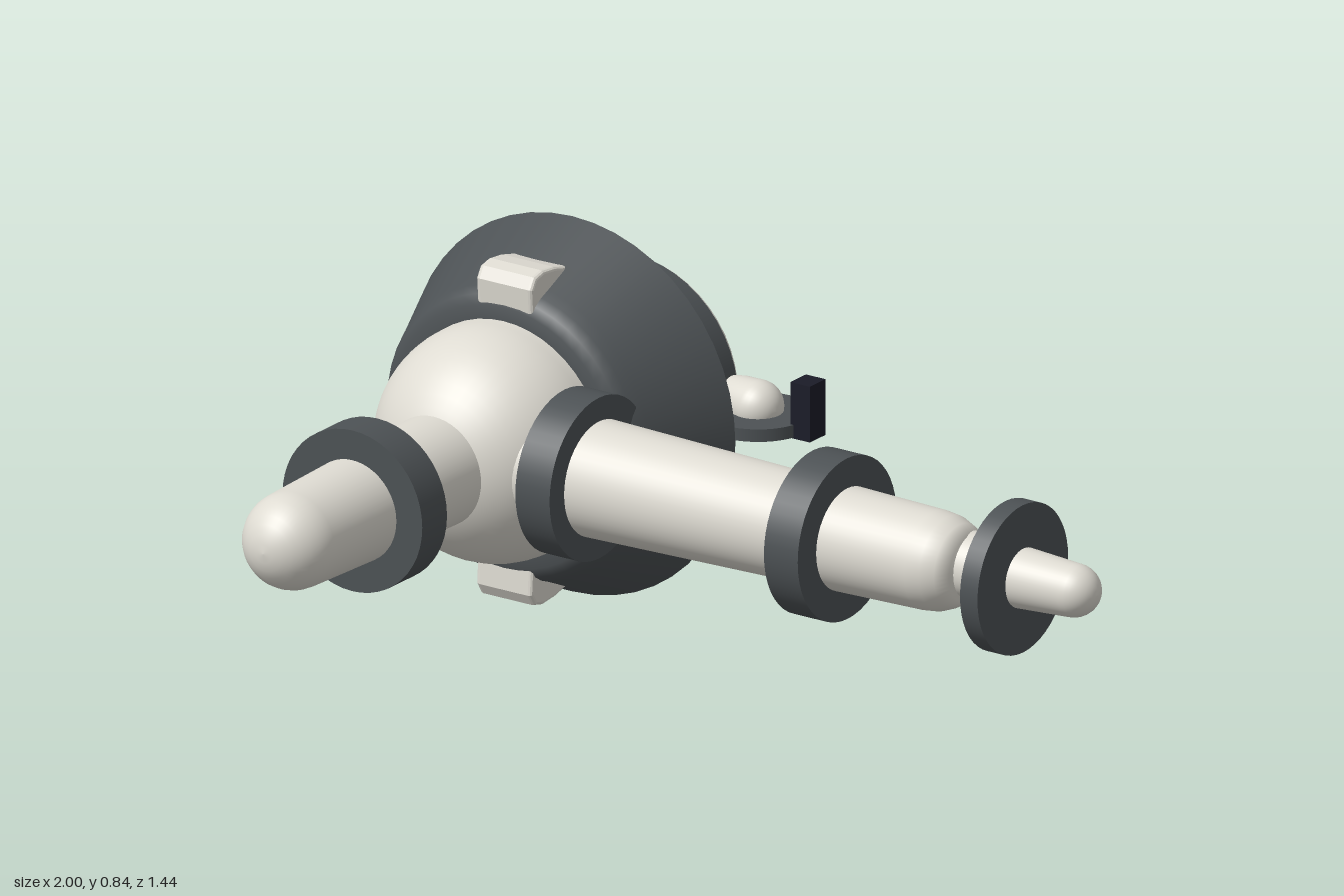
import * as THREE from 'three';
import { RoundedBoxGeometry } from 'three/addons/geometries/RoundedBoxGeometry.js';

const material = (name, color) => {
  const m = new THREE.MeshStandardMaterial({ color });
  m.name = name;
  return m;
};

// Revolved solid from [radius, position] pairs; a repeated pair makes a sharp edge.
function turned(profile, axis) {
  const g = new THREE.LatheGeometry(profile.map(([r, p]) => new THREE.Vector2(r, p)), 48);
  if (axis === 'z') g.rotateX(Math.PI / 2);
  if (axis === 'x') g.rotateZ(-Math.PI / 2);
  return g;
}

// Profile points of an elliptical end cap, from the rim to the axis.
function cap(r, start, length, steps = 8) {
  return Array.from({ length: steps + 1 }, (_, i) => {
    const a = (i / steps) * Math.PI / 2;
    return [i === steps ? 0 : r * Math.cos(a), start + length * Math.sin(a)];
  });
}

// Solid ring or disc with crisp rims.
const disc = (r, from, to, axis) =>
  turned([[0, from], [r, from], [r, from], [r, to], [r, to], [0, to]], axis);

export function createModel() {
  const shell = material('warm white shell', 0xdedbd2);
  const rubber = material('dark grey trim', 0x4d5255);
  const black = material('near black plastic', 0x1b1c28);

  const model = new THREE.Group();
  const X = -0.58, Y = 0.425;
  const add = (name, geometry, mat, x, y, z, parent = model) => {
    const mesh = new THREE.Mesh(geometry, mat);
    mesh.name = name;
    mesh.position.set(x, y, z);
    parent.add(mesh);
    return mesh;
  };

  // Body: domed front, straight barrel and rounded back plate
  add('body', turned([
    [0, -0.66], [0.235, -0.66], [0.25, -0.655], [0.258, -0.645], [0.26, -0.63], [0.26, -0.63],
    ...cap(0.26, -0.13, 0.26, 14),
  ], 'z'), shell, X, Y, 0);
  add('backBand', disc(0.264, -0.635, -0.55, 'z'), rubber, X, Y, 0);
  add('backHub', turned([[0, -0.71], [0.035, -0.707], [0.07, -0.696],
    [0.097, -0.68], [0.11, -0.655], [0.11, -0.655], [0, -0.655]], 'z'), shell, X, Y, 0);

  // Flared collar with a softened front shoulder
  add('flaredCollar', turned([
    [0, -0.405], [0.42, -0.405], [0.42, -0.405], [0.335, -0.215], [0.325, -0.19],
    [0.311, -0.168], [0.29, -0.156], [0.25, -0.154], [0, -0.154],
  ], 'z'), rubber, X, Y, 0);

  // Front arm
  add('frontArm', turned([[0, 0], [0.125, 0], [0.125, 0], [0.122, 0.1],
    ...cap(0.107, 0.61, 0.11)], 'z'), shell, X, Y, 0);
  add('frontArmRing', disc(0.18, 0.305, 0.395, 'z'), rubber, X, Y, 0);

  // Long side arm with narrower tip
  const sideArm = new THREE.Group();
  sideArm.name = 'sideArm';
  sideArm.position.set(0, Y, -0.067);
  model.add(sideArm);
  add('sideArmTube', turned([[0, -0.5], [0.13, -0.5], [0.13, -0.5], [0.127, -0.27],
    [0.108, 0.59], [0.104, 0.625], [0.092, 0.655], [0.072, 0.68], [0, 0.685]], 'x'), shell, 0, 0, 0, sideArm);
  add('sideArmTip', turned([[0, 0.6], [0.075, 0.6], [0.075, 0.6], [0.073, 0.68],
    ...cap(0.058, 0.94, 0.06)], 'x'), shell, 0, 0.002, -0.015, sideArm);
  add('shoulderRing', disc(0.18, -0.36, -0.272, 'x'), rubber, 0, 0, 0, sideArm);
  add('middleRing', disc(0.18, 0.28, 0.367, 'x'), rubber, 0, 0, 0, sideArm);
  add('tipRing', disc(0.165, 0.765, 0.81, 'x'), rubber, 0, 0, -0.013, sideArm);

  // Clips through the collar, above and below
  const clipSide = new THREE.Shape();
  [[0.17, 0.24], [0.163, 0.34], [0.175, 0.36], [0.2, 0.366], [0.24, 0.362], [0.32, 0.342], [0.32, 0.24]]
    .forEach(([z, r], i) => (i ? clipSide.lineTo(z, r) : clipSide.moveTo(z, r)));
  for (const side of [1, -1]) {
    const clip = new THREE.Group();
    clip.name = side > 0 ? 'upperClip' : 'lowerClip';
    clip.position.set(X, Y, 0);
    if (side < 0) clip.rotation.z = Math.PI;
    model.add(clip);
    const front = new THREE.ExtrudeGeometry(clipSide, {
      depth: 0.124, bevelThickness: 0.01, bevelSize: 0.008, bevelSegments: 3,
    });
    front.translate(0, 0, -0.062).rotateY(Math.PI / 2);
    add('clipFront', front, shell, 0, 0, 0, clip);
    add('clipBack', new RoundedBoxGeometry(0.195, 0.1, 0.06, 4, 0.022), shell, 0, 0.29, -0.407, clip);
  }

  // Hooked cord with a small bulb under the barrel
  const cord = new THREE.CatmullRomCurve3([
    [0, 0.05, -0.4], [0, 0.046, -0.435], [0, 0.06, -0.465], [0, 0.1, -0.478],
  ].map(p => new THREE.Vector3(...p)));
  add('hookCord', new THREE.TubeGeometry(cord, 20, 0.008, 10), rubber, X, 0, 0);
  add('hookBulb', new THREE.CapsuleGeometry(0.018, 0.04, 6, 16), rubber, X, 0.128, -0.478);

  // Rear lever swelling toward a rounded end
  const from = new THREE.Vector3(X, 0.43, -0.672), to = new THREE.Vector3(-0.245, 0.432, -0.606);
  const length = from.distanceTo(to);
  const lever = add('rearLever', turned([[0, 0], [0.026, 0], [0.028, length * 0.45],
    [0.04, length * 0.68], [0.052, length * 0.85], ...cap(0.056, length, 0.056)], 'y'), shell, from.x, from.y, from.z);
  lever.quaternion.setFromUnitVectors(new THREE.Vector3(0, 1, 0), to.clone().sub(from).normalize());

  // Disc below the lever and its upright tab
  add('leverDisc', disc(0.115, -0.014, 0.014, 'y'), rubber, -0.243, 0.407, -0.605);
  add('leverTab', new THREE.BoxGeometry(0.05, 0.125, 0.057), black, -0.115, 0.453, -0.605);

  return model;
}
